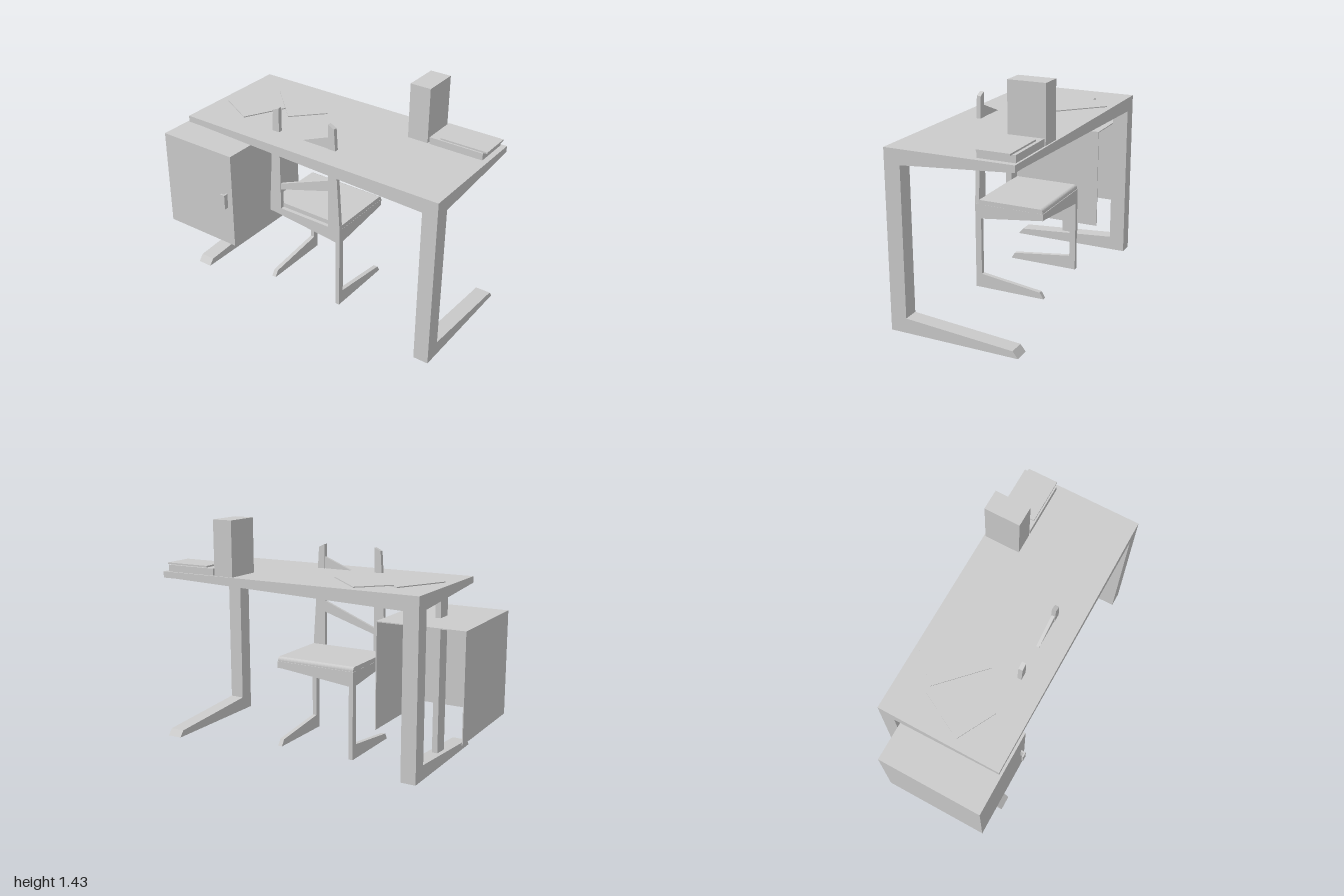
import * as THREE from 'three';

const mat = new THREE.MeshStandardMaterial({ color: 0xcccccc, flatShading: true, side: THREE.DoubleSide });

function add(parent, name, geometry) {
  const mesh = new THREE.Mesh(geometry, mat);
  mesh.name = name;
  parent.add(mesh);
  return mesh;
}

// Box given by its lower and upper limits
function block(parent, name, x0, x1, y0, y1, z0, z1) {
  const mesh = add(parent, name, new THREE.BoxGeometry(x1 - x0, y1 - y0, z1 - z0));
  mesh.position.set((x0 + x1) / 2, (y0 + y1) / 2, (z0 + z1) / 2);
  return mesh;
}

// Outline in (x, y), extruded along z from z0 to z1
function prismXY(parent, name, pts, z0, z1) {
  const shape = new THREE.Shape(pts.map(p => new THREE.Vector2(...p)));
  const geo = new THREE.ExtrudeGeometry(shape, { depth: z1 - z0, bevelEnabled: false });
  return add(parent, name, geo.translate(0, 0, z0));
}

// Outline in (z, y), extruded along x from x0 to x1
function prismZY(parent, name, pts, x0, x1) {
  const shape = new THREE.Shape(pts.map(p => new THREE.Vector2(...p)));
  const geo = new THREE.ExtrudeGeometry(shape, { depth: x1 - x0, bevelEnabled: false });
  return add(parent, name, geo.rotateY(-Math.PI / 2).translate(x1, 0, 0));
}

// Two C-shaped end frames facing opposite ways, joined by tapered side rails
function cantileverBase(name, { w, d, top, thick, thin, leg, t, foot, tip }) {
  const base = new THREE.Group();
  base.name = name;
  for (let i = 0; i < 2; i++) {
    const half = new THREE.Group();
    half.name = i ? 'backHalf' : 'frontHalf';
    half.rotation.y = i * Math.PI;
    prismXY(half, 'endFrame', [
      [-w, 0], [w + tip, 0], [w - 0.02, 0.04], [-w + leg, foot],
      [-w + leg, thick], [w, thin], [w, top], [-w, top],
    ], d - t, d);
    prismZY(half, 'sideRail', [
      [-d + t, thick], [d - t, thin], [d - t, top], [-d + t, top],
    ], w - leg, w);
    base.add(half);
  }
  return base;
}

function makeDesk() {
  const desk = cantileverBase('desk', {
    w: 0.395, d: 0.885, top: 1.085, thick: 0.995, thin: 1.045, leg: 0.1, t: 0.095, foot: 0.09, tip: 0.012,
  });
  block(desk, 'deskTop', -0.3, 0.3, 1.06, 1.085, -0.795, 0.795);
  desk.position.set(0.005, 0, 0.115);
  return desk;
}

function makeCabinet() {
  const g = new THREE.Group();
  g.name = 'cabinet';
  const e = 0.006;
  // Shell open underneath and on one side
  block(g, 'cabinetTop', -0.39, 0.285, 0.895 - e, 0.895, -1, -0.45);
  block(g, 'cabinetSide', -0.39, -0.39 + e, 0.245, 0.895, -1, -0.45);
  block(g, 'cabinetBack', -0.39, 0.285, 0.245, 0.895, -1, -1 + e);
  block(g, 'cabinetFront', -0.39, 0.285, 0.245, 0.895, -0.45 - e, -0.45);
  // Post joining foot, cabinet and desk top
  block(g, 'cabinetPost', -0.07, 0.03, 0.065, 1.03, -0.74, -0.705);
  // Angled pull handle
  block(g, 'handleStem', -0.42, -0.39, 0.52, 0.62, -0.5, -0.49);
  block(g, 'handleGrip', -0.42, -0.41, 0.52, 0.62, -0.525, -0.49);
  return g;
}

function makeChair() {
  const chair = cantileverBase('chair', {
    w: 0.23, d: 0.267, top: 0.552, thick: 0.46, thin: 0.51, leg: 0.04, t: 0.028, foot: 0.09, tip: 0.005,
  });
  chair.position.x = -0.01;

  // Seat pad with a softened front edge
  const pad = new THREE.Shape();
  pad.moveTo(-0.205, 0.548);
  pad.lineTo(0.226, 0.548);
  pad.lineTo(0.226, 0.56);
  pad.quadraticCurveTo(0.224, 0.577, 0.208, 0.58);
  pad.lineTo(-0.205, 0.58);
  const padGeo = new THREE.ExtrudeGeometry(pad, { depth: 0.532, bevelEnabled: false, curveSegments: 5 });
  add(chair, 'seatPad', padGeo.translate(0, 0, -0.266));

  // Back posts and slanted back slats
  const x0 = -0.23, x1 = -0.203;
  for (const s of [1, -1]) {
    prismZY(chair, 'backPost', [
      [s * 0.18, 0.55], [s * 0.267, 0.55], [s * 0.222, 1.222], [s * 0.18, 1.242],
    ], x0, x1);
  }
  for (const lift of [0, 0.288]) {
    prismZY(chair, 'backSlat', [
      [-0.18, 0.688 + lift], [0.18, 0.8 + lift], [0.18, 0.872 + lift], [-0.18, 0.728 + lift],
    ], x0 + 0.004, x1 - 0.004);
  }
  return chair;
}

function makeDeskItems() {
  const g = new THREE.Group();
  g.name = 'deskItems';
  // Upright books
  block(g, 'uprightBookThin', 0.16, 0.39, 1.085, 1.43, 0.475, 0.507);
  block(g, 'uprightBookThick', 0.16, 0.39, 1.085, 1.43, 0.507, 0.608);
  // Lying books
  block(g, 'lyingBook', 0.16, 0.387, 1.085, 1.128, 0.62, 0.965);
  block(g, 'notebook', 0.17, 0.367, 1.128, 1.138, 0.685, 0.988);
  // Loose sheets: length, width, centre, height, turn
  const sheets = [
    [0.35, 0.266, 0.007, -0.515, 1.088, -0.486],
    [0.37, 0.245, 0.16, -0.302, 1.095, 0.804],
  ];
  for (const [l, w, x, z, y, turn] of sheets) {
    const sheet = add(g, 'paperSheet', new THREE.BoxGeometry(l, 0.006, w));
    sheet.position.set(x, y, z);
    sheet.rotation.y = turn;
  }
  return g;
}

export function createModel() {
  const model = new THREE.Group();
  model.name = 'deskWithChair';
  model.add(makeDesk(), makeCabinet(), makeChair(), makeDeskItems());
  return model;
}
